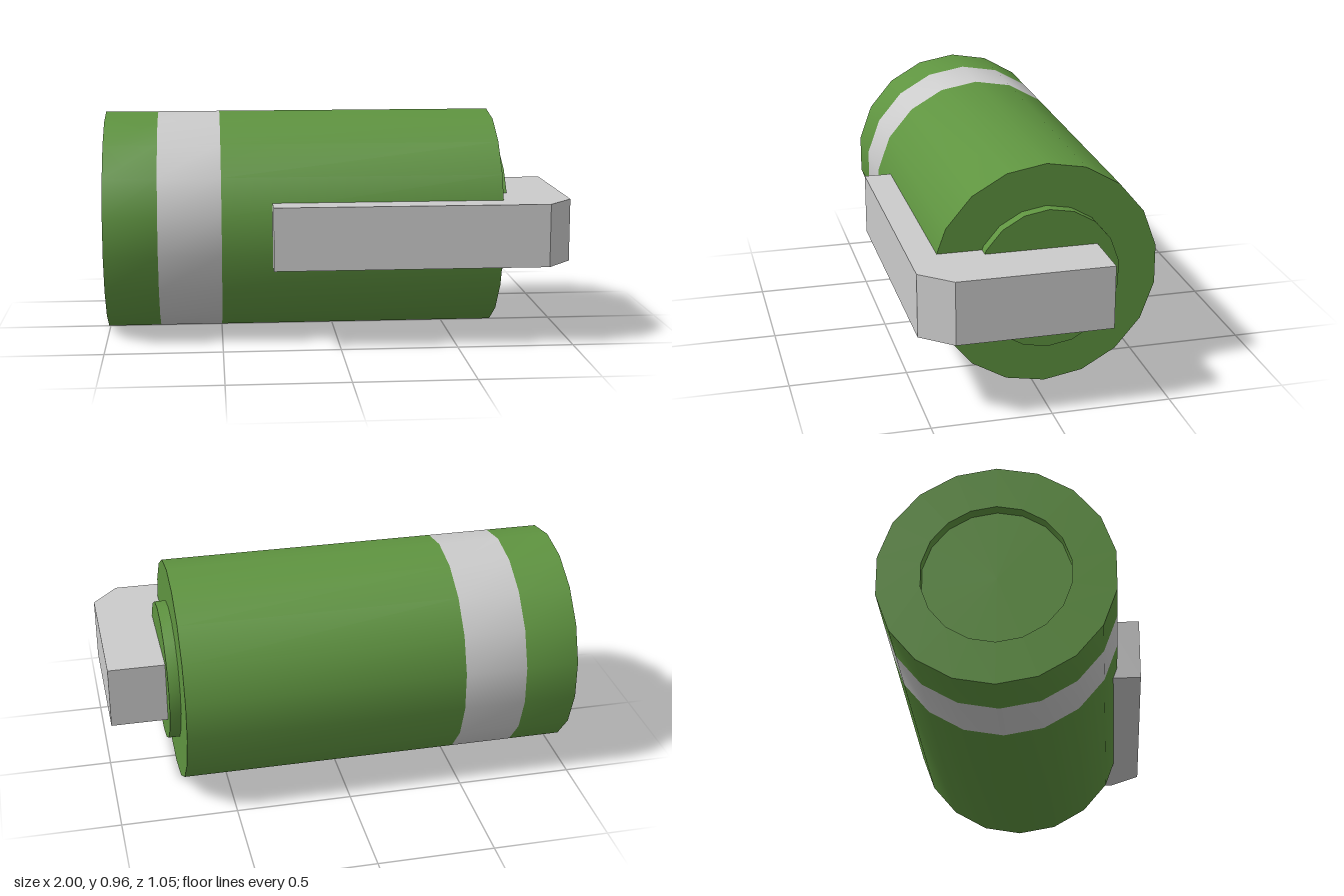
import * as THREE from 'three';
import { toCreasedNormals } from 'three/addons/utils/BufferGeometryUtils.js';

const SIDES = 18, R = 0.482, HUB = 0.303;
const CENTER_Y = 0.486, CENTER_Z = -0.05;

// Solid of revolution about the x axis; profile is [radius, x] from left end to right end
function turned(name, profile, material) {
  const points = profile.map(([r, x]) => new THREE.Vector2(r, x));
  const lathe = new THREE.LatheGeometry(points, SIDES, Math.PI / 2);
  lathe.rotateZ(-Math.PI / 2);
  const mesh = new THREE.Mesh(toCreasedNormals(lathe, Math.PI / 5), material);
  mesh.position.set(0, CENTER_Y, CENTER_Z);
  mesh.name = name;
  return mesh;
}

export function createModel() {
  const group = new THREE.Group();
  group.name = 'canister';
  const green = new THREE.MeshStandardMaterial({ color: 0x5f9440 });
  const grey = new THREE.MeshStandardMaterial({ color: 0xcccccc });

  // Base end with a shallow round recess
  group.add(turned('recessedBase', [[0, -0.95], [HUB, -0.95], [HUB, -1], [R, -1], [R, -0.77]], green));

  // Grey stripe around the body
  group.add(turned('band', [[R, -0.77], [R, -0.5]], grey));

  // Main body with a raised round boss on its far end
  group.add(turned('body', [[R, -0.5], [R, 0.705], [HUB, 0.705], [HUB, 0.753], [0, 0.753]], green));

  // Bent lever: lies along the front and hooks over the boss
  const outline = new THREE.Shape([
    [-0.285, 0.525], [-0.285, 0.39], [0.7, 0.39], [0.7, -0.255],
    [0.997, -0.255], [0.997, 0.395], [0.885, 0.525],
  ].map(([x, z]) => new THREE.Vector2(x, z)));
  const leverGeometry = new THREE.ExtrudeGeometry(outline, { depth: 0.27, bevelEnabled: false });
  leverGeometry.rotateX(Math.PI / 2);
  const lever = new THREE.Mesh(leverGeometry, grey);
  lever.position.y = 0.622;
  lever.name = 'lever';
  group.add(lever);

  return group;
}
